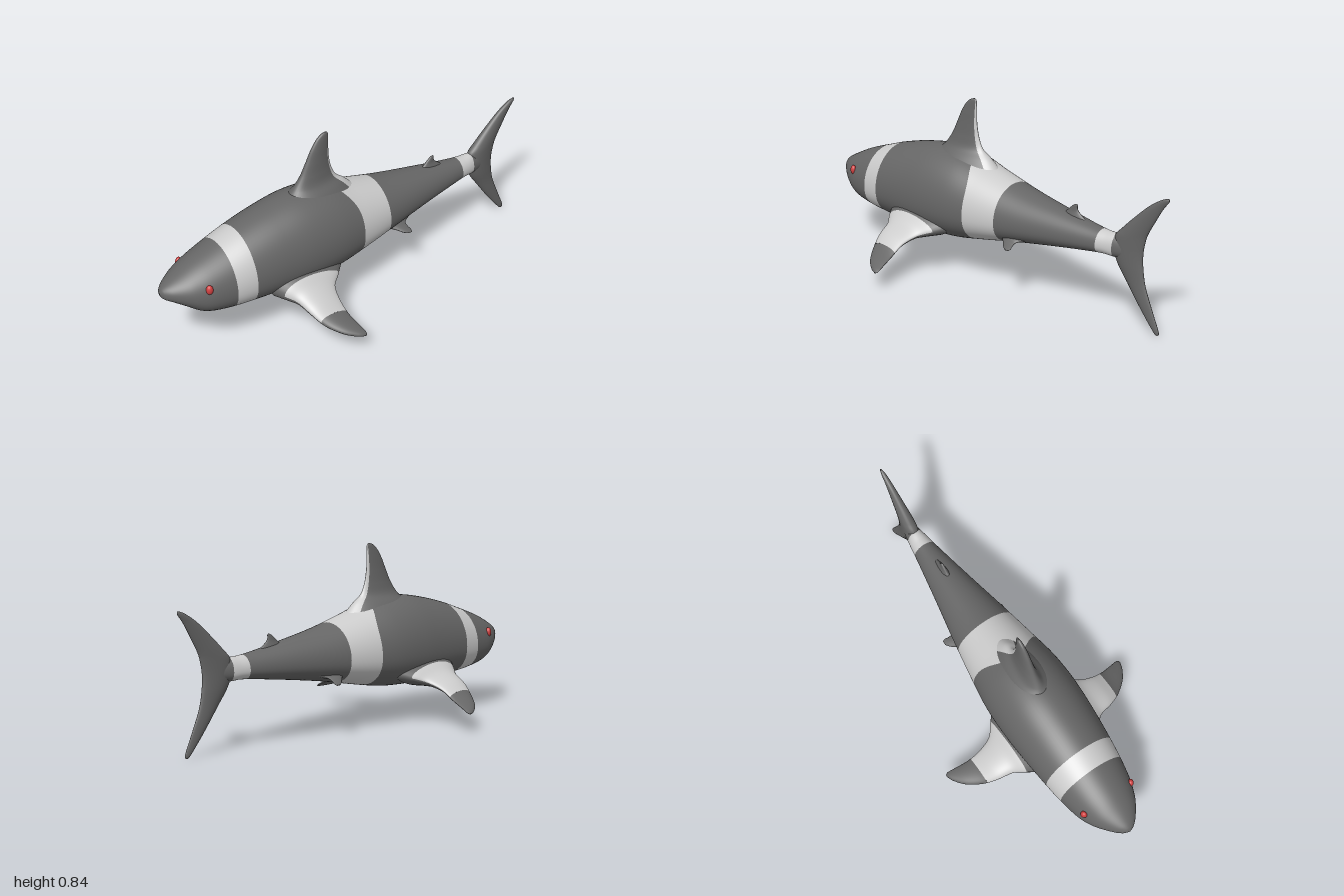
import * as THREE from 'three';

const DARK = new THREE.MeshStandardMaterial({ color: 0x666666, side: THREE.DoubleSide });
const LIGHT = new THREE.MeshStandardMaterial({ color: 0xcccccc, side: THREE.DoubleSide });
const RED = new THREE.MeshStandardMaterial({ color: 0xd04040 });
const PI = Math.PI;

// Smooth interpolation through rows [key, a, b, ...]; returns key => [a, b, ...]
function track(rows) {
  const n = rows.length;
  const slope = (i, k) => {
    const p = rows[Math.max(i - 1, 0)], q = rows[Math.min(i + 1, n - 1)];
    return (q[k] - p[k]) / (q[0] - p[0]);
  };
  return (key) => {
    let i = 0;
    while (i < n - 2 && key > rows[i + 1][0]) i++;
    const a = rows[i], b = rows[i + 1], d = b[0] - a[0];
    const t = THREE.MathUtils.clamp((key - a[0]) / d, 0, 1), t2 = t * t, t3 = t2 * t;
    return a.slice(1).map((v, j) => {
      const k = j + 1;
      return v * (2 * t3 - 3 * t2 + 1) + b[k] * (3 * t2 - 2 * t3)
        + d * (slope(i, k) * (t3 - 2 * t2 + t) + slope(i + 1, k) * (t3 - t2));
    });
  };
}

// Patch of a lofted surface P(u, angle), with normals taken from the full surface
// so that neighbouring colour patches shade as one skin
function patch(name, P, range, material, { from, to, a0 = 0, a1 = 2 * PI, nu = 24, na = 48, ease = 1 }) {
  const pos = [], nor = [], idx = [], e = 0.002;
  const normal = (u, a) => {
    const c = THREE.MathUtils.clamp(u, range[0] + 2 * e, range[1] - 2 * e);
    const du = P(c + e, a).sub(P(c - e, a)), da = P(c, a + 0.02).sub(P(c, a - 0.02));
    return du.cross(da).normalize();
  };
  const am = a0 + (a1 - a0) * 0.37, um = (from(am) + to(am)) / 2;
  const sign = Math.sign(normal(um, am).dot(P(um, am).sub(P(um, am + PI))));
  for (let i = 0; i <= nu; i++) {
    for (let j = 0; j <= na; j++) {
      const a = a0 + (a1 - a0) * j / na;
      const u = THREE.MathUtils.lerp(from(a), to(a), (i / nu) ** ease);
      pos.push(...P(u, a).toArray());
      nor.push(...normal(u, a).multiplyScalar(sign).toArray());
      if (i === nu || j === na) continue;
      const p = i * (na + 1) + j, q = p + na + 1;
      if (sign > 0) idx.push(p, q, p + 1, q, q + 1, p + 1);
      else idx.push(p, p + 1, q, q, p + 1, q + 1);
    }
  }
  const g = new THREE.BufferGeometry();
  g.setAttribute('position', new THREE.Float32BufferAttribute(pos, 3));
  g.setAttribute('normal', new THREE.Float32BufferAttribute(nor, 3));
  g.setIndex(idx);
  const mesh = new THREE.Mesh(g, material);
  mesh.name = name;
  return mesh;
}

// Body surface from rows [x, top, bottom, half width]
const profile = track([
  [-1, 0.346, 0.338, 0.003], [-0.99, 0.362, 0.318, 0.027], [-0.96, 0.382, 0.299, 0.06],
  [-0.9, 0.413, 0.258, 0.105], [-0.85, 0.437, 0.22, 0.13], [-0.8, 0.457, 0.2, 0.147],
  [-0.7, 0.492, 0.183, 0.167], [-0.6, 0.525, 0.174, 0.18], [-0.45, 0.562, 0.165, 0.194],
  [-0.3, 0.583, 0.162, 0.202], [-0.15, 0.572, 0.17, 0.197], [0, 0.53, 0.195, 0.175],
  [0.2, 0.48, 0.234, 0.14], [0.4, 0.444, 0.266, 0.101], [0.6, 0.412, 0.294, 0.064],
  [0.68, 0.404, 0.302, 0.05], [0.73, 0.405, 0.3, 0.041], [0.8, 0.39, 0.312, 0.026],
  [0.865, 0.36, 0.34, 0.006],
]);
function bodySurface(x, a) {
  const [top, bottom, w] = profile(x);
  const mid = bottom + 0.42 * (top - bottom), s = Math.sin(a), c = Math.cos(a);
  if (s >= 0) return new THREE.Vector3(x, mid + (top - mid) * s, w * c);
  // squarer belly
  return new THREE.Vector3(x, mid - (mid - bottom) * Math.abs(s) ** 0.88,
    w * Math.sign(c) * Math.abs(c) ** 0.88);
}

// Fin surface from rows [front x, rear x, y, z, half thickness]; angle 0 is the rear edge
function finSurface(rows, axis, side = 1) {
  const f = track(rows.map((r, i) => [i, ...r]));
  return (u, a) => {
    const [x0, x1, y, z, t] = f(u);
    const p = new THREE.Vector3((x0 + x1) / 2 + (x1 - x0) / 2 * Math.cos(a), y, z);
    p[axis] += t * Math.sin(a) * (0.9 - 0.2 * Math.cos(a));
    p.z *= side;
    return p;
  };
}

export function createModel() {
  const model = new THREE.Group();

  // Body in alternating dark and light bands
  const body = new THREE.Group();
  body.name = 'body';
  const shoulder = (a) => -0.03 - 0.07 * Math.max(0, Math.sin(a)) ** 5;
  const cuts = [() => -1, () => -0.705, () => -0.61, shoulder, () => 0.14, () => 0.65, () => 0.73, () => 0.865];
  const names = ['head', 'neckBand', 'trunk', 'middleBand', 'rearTrunk', 'tailBand', 'tailStem'];
  names.forEach((name, i) => body.add(patch(name, bodySurface, [-1, 0.865], i % 2 ? LIGHT : DARK,
    { from: cuts[i], to: cuts[i + 1], na: 72, nu: i % 2 ? 8 : 28, ease: i ? 1 : 1.8 })));
  model.add(body);

  // Adds one or more patches of a fin
  const addFin = (name, rows, axis, side, pieces) => {
    const group = new THREE.Group(), last = rows.length - 1;
    group.name = name;
    const P = finSurface(rows, axis, side);
    for (const [part, mat, u0, u1, a0, a1] of pieces(last)) {
      group.add(patch(part, P, [0, last], mat,
        { from: () => u0, to: () => u1, a0, a1, nu: Math.ceil((u1 - u0) * 6), na: 32 }));
    }
    model.add(group);
  };
  const plain = (last) => [['finBlade', DARK, 0, last, 0, 2 * PI]];

  // Dorsal fin with a light trailing edge
  addFin('dorsalFin', [
    [-0.37, 0.04, 0.5, 0, 0.13], [-0.335, -0.02, 0.56, 0, 0.082], [-0.295, -0.068, 0.6, 0, 0.045],
    [-0.258, -0.092, 0.65, 0, 0.03], [-0.227, -0.104, 0.71, 0, 0.022], [-0.2, -0.106, 0.765, 0, 0.017],
    [-0.17, -0.106, 0.808, 0, 0.012], [-0.145, -0.108, 0.828, 0, 0.008], [-0.125, -0.115, 0.836, 0, 0.002],
  ], 'z', 1, (last) => [
    ['finBlade', DARK, 0, last, 0.6, 2 * PI - 0.6],
    ['trailingEdge', LIGHT, 0, last, -0.6, 0.6],
  ]);

  // Tail fin, from the lower tip to the upper tip
  addFin('tailFin', [
    [0.955, 0.962, 0, 0, 0.002], [0.936, 0.968, 0.017, 0, 0.008], [0.867, 0.932, 0.1, 0, 0.013],
    [0.793, 0.89, 0.2, 0, 0.02], [0.737, 0.873, 0.28, 0, 0.03], [0.715, 0.87, 0.345, 0, 0.034],
    [0.722, 0.879, 0.4, 0, 0.034], [0.758, 0.892, 0.44, 0, 0.031], [0.818, 0.925, 0.5, 0, 0.024],
    [0.895, 0.966, 0.57, 0, 0.016], [0.955, 0.996, 0.61, 0, 0.01], [0.988, 0.997, 0.624, 0, 0.002],
  ], 'z', 1, plain);

  // Small second dorsal fin
  addFin('rearDorsalFin', [
    [0.42, 0.55, 0.42, 0, 0.02], [0.45, 0.515, 0.445, 0, 0.011], [0.468, 0.505, 0.462, 0, 0.008],
    [0.484, 0.506, 0.475, 0, 0.005], [0.494, 0.502, 0.48, 0, 0.001],
  ], 'z', 1, plain);

  for (const [side, label] of [[1, 'front'], [-1, 'back']]) {
    // Pectoral fins with a light patch on the upper face
    addFin(label + 'PectoralFin', [
      [-0.53, -0.14, 0.24, 0.15, 0.085], [-0.49, -0.2, 0.22, 0.205, 0.06], [-0.455, -0.252, 0.2, 0.25, 0.043],
      [-0.435, -0.274, 0.172, 0.32, 0.033], [-0.405, -0.273, 0.135, 0.385, 0.023],
      [-0.355, -0.262, 0.109, 0.45, 0.015], [-0.305, -0.256, 0.094, 0.486, 0.009],
      [-0.272, -0.262, 0.087, 0.499, 0.002],
    ], 'y', side, (last) => [
      ['finRoot', DARK, 0, 0.95, 0, 2 * PI],
      ['lightPatch', LIGHT, 0.95, 3.75, 0, PI],
      ['finUnderside', DARK, 0.95, 3.75, PI, 2 * PI],
      ['finTip', DARK, 3.75, last, 0, 2 * PI],
    ]);

    // Pelvic fins
    addFin(label + 'PelvicFin', [
      [0.11, 0.29, 0.28, 0.095, 0.025], [0.16, 0.252, 0.267, 0.115, 0.013], [0.186, 0.248, 0.257, 0.135, 0.009],
      [0.207, 0.253, 0.247, 0.155, 0.006], [0.228, 0.25, 0.241, 0.168, 0.002],
    ], 'y', side, plain);

    // Eyes
    const eye = new THREE.Mesh(new THREE.SphereGeometry(1, 20, 14), RED);
    eye.name = label + 'Eye';
    eye.scale.set(0.016, 0.023, 0.014);
    eye.position.set(-0.825, 0.363, 0.128 * side);
    eye.rotation.y = -0.45 * side;
    model.add(eye);
  }
  return model;
}
